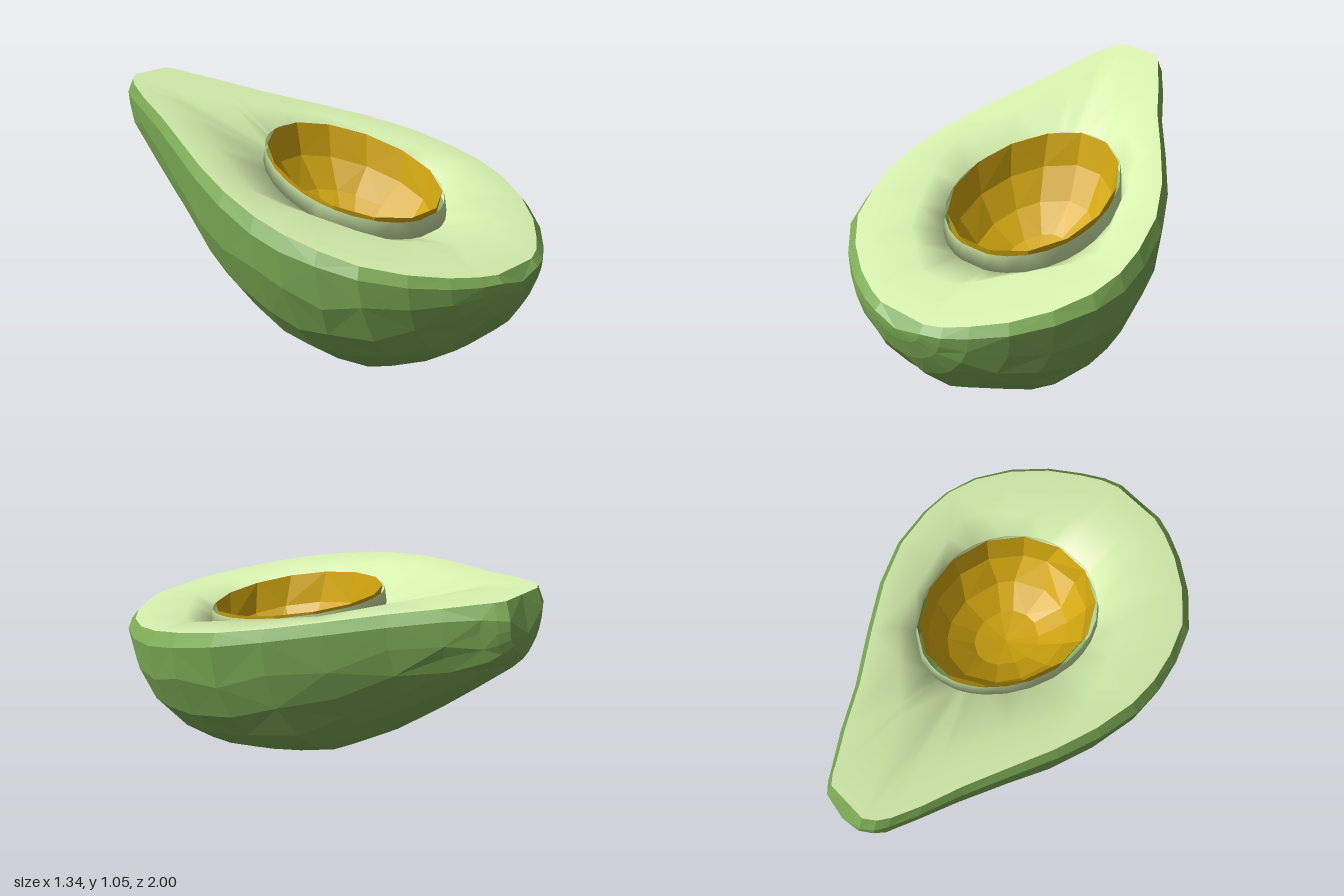
import * as THREE from 'three';

// Tilted cut plane of the halved fruit
const planeY = (x, z) => 0.822 - 0.226 * z - 0.05 * x;

// Small seeded noise, for slightly irregular facets
let seed = 7;
const noise = () => ((seed = (seed * 16807) % 2147483647) / 2147483647) * 2 - 1;

// Surface through rows of points; it faces (along row) x (row to row)
function loft(rows, closed) {
  const n = rows[0].length;
  const index = [];
  const count = closed ? n : n - 1;
  for (let i = 0; i < rows.length - 1; i++) {
    for (let j = 0; j < count; j++) {
      const k = (j + 1) % n;
      const a = i * n + j, b = i * n + k, c = a + n, d = b + n;
      if ((i + j) % 2) index.push(a, b, c, b, d, c);
      else index.push(a, b, d, a, d, c);
    }
  }
  const geometry = new THREE.BufferGeometry();
  geometry.setAttribute('position', new THREE.Float32BufferAttribute(rows.flat(2), 3));
  geometry.setIndex(index);
  geometry.computeVertexNormals();
  return geometry;
}

// Stations along the fruit: z, left x, right x, underside y, drop of the skin's shoulder
const stations = [
  [-0.985, -0.29, -0.1, 0.81, 0.08],
  [-0.95, -0.335, -0.065, 0.755, 0.07],
  [-0.9, -0.365, -0.03, 0.7, 0.06],
  [-0.78, -0.41, 0.06, 0.6, 0.05],
  [-0.6, -0.46, 0.18, 0.45, 0.05],
  [-0.4, -0.53, 0.34, 0.285, 0.05],
  [-0.2, -0.6, 0.49, 0.145, 0.05],
  [0.0, -0.65, 0.6, 0.065, 0.055],
  [0.2, -0.672, 0.655, 0.015, 0.06],
  [0.35, -0.66, 0.67, 0.002, 0.06],
  [0.5, -0.62, 0.645, 0.02, 0.05],
  [0.66, -0.55, 0.57, 0.105, 0.04],
  [0.8, -0.42, 0.46, 0.2, 0.035],
  [0.9, -0.28, 0.34, 0.31, 0.03],
  [0.96, -0.16, 0.25, 0.41, 0.025],
  [0.99, -0.07, 0.17, 0.5, 0.02],
];

// Edge of the cut face, slightly inside the outline
function rimPoint([z, xl, xr], side) {
  const x = (xl + xr) / 2 + side * ((xr - xl) / 2) * 0.95;
  return [x, planeY(x, z * 0.97), z * 0.97];
}

function makeSkin() {
  const steps = 12;
  const rows = stations.map((s, i) => {
    const [z, xl, xr, bottom, drop] = s;
    const mid = (xl + xr) / 2, half = (xr - xl) / 2;
    const row = [rimPoint(s, -1)];
    const inner = i > 1 && i < stations.length - 2;
    for (let j = 0; j <= steps; j++) {
      const loose = inner && j > 0 && j < steps;
      const t = (Math.PI * (j + (loose ? noise() * 0.2 : 0))) / steps;
      const x = mid - half * Math.cos(t);
      const top = planeY(x, z) - drop;
      row.push([x, top - (top - bottom) * Math.sin(t), z + (loose ? noise() * 0.015 : 0)]);
    }
    row.push(rimPoint(s, 1));
    return row;
  });
  // Close each tip to a pole, and its upper edge to the middle of the rim
  const cap = (row, pole) => {
    const a = row[0], b = row[row.length - 1];
    const middle = a.map((v, k) => (v + b[k]) / 2);
    return row.map((p) => (p === a || p === b ? middle : pole));
  };
  const last = rows[rows.length - 1];
  return loft([cap(rows[0], [-0.195, 0.9, -1]), ...rows, cap(last, [0.05, 0.55, 1])], false);
}

// Stone hollow: an egg outline sunk below the cut plane
const hollow = { x: 0.025, z: 0.11, rx: 0.335, rz: 0.412, depth: 0.37 };
function hollowPoint(angle, scale, down) {
  const width = hollow.rx * (1 - 0.08 * Math.sin(angle));
  const x = hollow.x + Math.cos(angle) * width * scale;
  const z = hollow.z - Math.sin(angle) * hollow.rz * scale;
  return [x, planeY(x, z) - down, z];
}

// Corners (x, z) where the flat flesh breaks and dips toward the hollow
const breakLine = [[0.51, 0.32], [0.29, -0.27], [-0.25, -0.72], [-0.53, 0.06], [-0.3, 0.55], [0.05, 0.82]];

// Point of the break line seen from the hollow's centre in direction (dx, dz)
function breakPoint(dx, dz) {
  let reach = 0;
  breakLine.forEach(([px, pz], i) => {
    const [qx, qz] = breakLine[(i + 1) % breakLine.length];
    const ax = px - hollow.x, az = pz - hollow.z, ex = qx - px, ez = qz - pz;
    const det = dx * ez - dz * ex;
    const along = (ax * ez - az * ex) / det;
    const part = (ax * dz - az * dx) / det;
    if (along > 0 && part >= 0 && part <= 1) reach = Math.max(reach, along);
  });
  const x = hollow.x + dx * reach, z = hollow.z + dz * reach;
  return [x, planeY(x, z), z];
}

function makeFlesh() {
  const rim = [
    ...[...stations].reverse().map((s) => rimPoint(s, 1)),
    ...stations.map((s) => rimPoint(s, -1)),
  ];
  const angles = rim.map(([x, , z]) => Math.atan2(-(z - hollow.z) / hollow.rz, (x - hollow.x) / hollow.rx));
  const shelf = rim.map(([x, , z]) => breakPoint(x - hollow.x, z - hollow.z));
  const dip = angles.map((a) => hollowPoint(a, 1.05, 0.08));
  // Shade the inner edge as the side of a pit, then raise it into a thin lip
  const pit = angles.map((a) => hollowPoint(a, 1.025, 0.2));
  const geometry = loft([rim, shelf, dip, pit], true);
  const position = geometry.attributes.position;
  for (let i = rim.length * 3; i < position.count; i++) position.setY(i, position.getY(i) + 0.19);
  return geometry;
}

function makeHollow() {
  const rows = [];
  const sides = 14, rings = 4;
  for (let i = 0; i <= rings; i++) {
    const t = (i / rings) * (Math.PI / 2);
    const row = [];
    for (let j = 0; j < sides; j++) {
      const wobble = i > 0 && i < rings ? noise() * 0.25 : 0;
      const a = ((j + wobble) / sides) * Math.PI * 2;
      row.push(hollowPoint(a, i === rings ? 0 : Math.cos(t), Math.sin(t) * hollow.depth));
    }
    rows.push(row);
  }
  return loft(rows, true);
}

export function createModel() {
  const group = new THREE.Group();
  group.name = 'avocadoHalf';
  const add = (name, geometry, color, flatShading) => {
    const material = new THREE.MeshStandardMaterial({ color, flatShading, side: THREE.DoubleSide });
    const mesh = new THREE.Mesh(geometry, material);
    mesh.name = name;
    group.add(mesh);
  };
  add('skin', makeSkin(), 0x7cab55, true);
  add('flesh', makeFlesh(), 0xd9f3b0, false);
  add('stoneHollow', makeHollow(), 0xd4a80f, true);
  return group;
}
